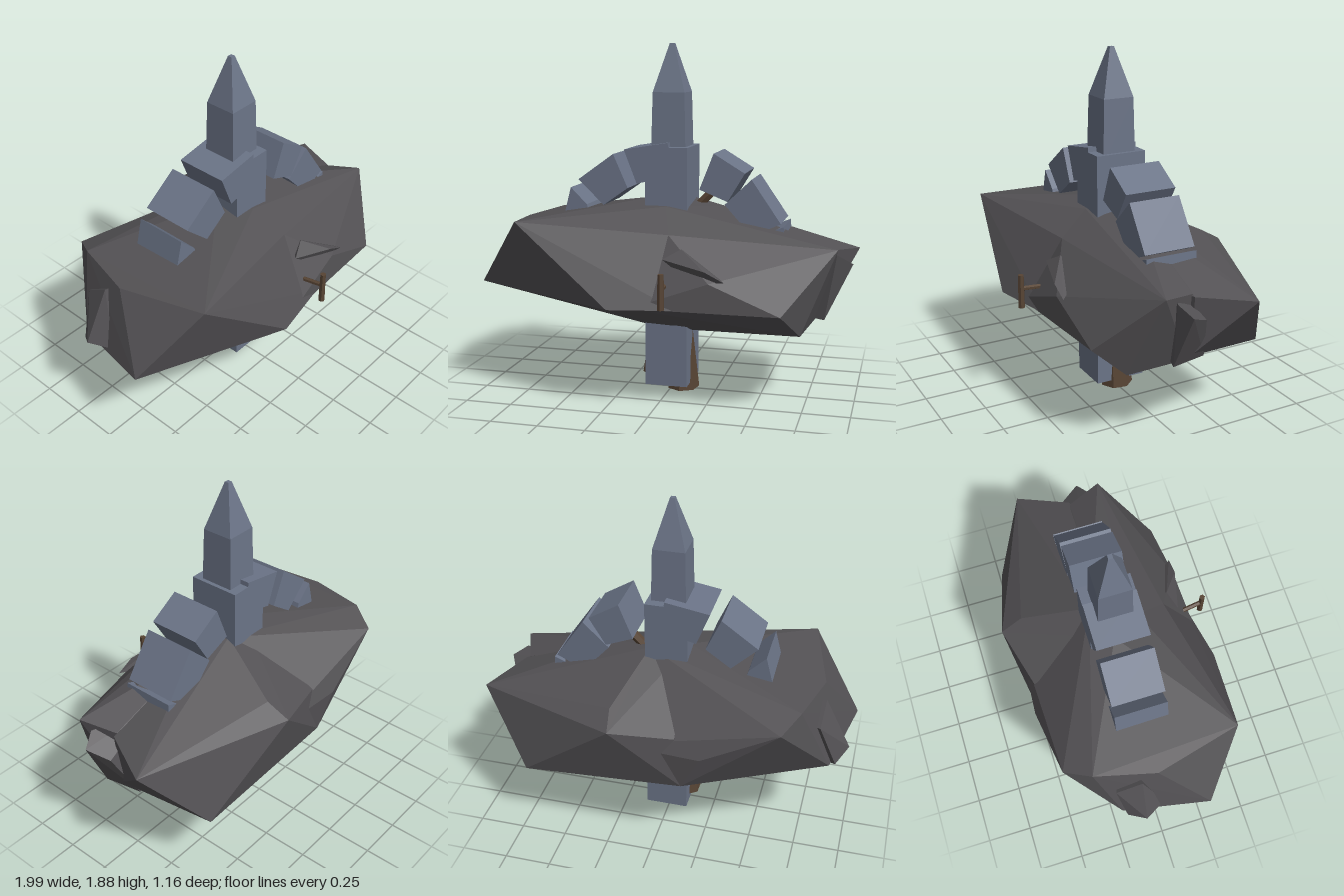
import * as THREE from 'three';
import { ConvexGeometry } from 'three/addons/geometries/ConvexGeometry.js';

export function createModel() {
  const model = new THREE.Group();
  const mat = (name, color) => {
    const m = new THREE.MeshStandardMaterial({ color });
    m.name = name;
    m.flatShading = true;
    return m;
  };
  const rock = mat('dark rock', 0x535154);
  const stone = mat('blue grey stone', 0x6b7487);
  const wood = mat('brown wood', 0x574434);

  const add = (name, geometry, material, x = 0, y = 0, z = 0) => {
    const mesh = new THREE.Mesh(geometry, material);
    mesh.name = name;
    mesh.position.set(x, y, z);
    model.add(mesh);
    return mesh;
  };
  const hull = (name, points) =>
    add(name, new ConvexGeometry(points.map((p) => new THREE.Vector3(...p))), rock);
  // faceted rod between two points
  const rod = (name, a, b, r0, r1, sides = 6) => {
    const from = new THREE.Vector3(...a), to = new THREE.Vector3(...b);
    const dir = to.clone().sub(from);
    const mesh = add(name, new THREE.CylinderGeometry(r1, r0, dir.length(), sides), wood);
    mesh.position.copy(from).add(to).multiplyScalar(0.5);
    mesh.quaternion.setFromUnitVectors(new THREE.Vector3(0, 1, 0), dir.normalize());
  };

  // floating boulder: three overlapping lobes around a shared core
  const core = [
    [-0.1, 1.07, -0.02], [0.1, 1.065, -0.1], [0.3, 1.03, -0.02], [0, 1.04, 0.14],
    [0.1, 0.34, 0], [-0.1, 0.36, 0.03], [0, 0.33, -0.06], [0.06, 0.92, 0.31],
  ];
  hull('boulderLeft', [
    ...core,
    [-0.72, 0.98, 0.46], [-0.83, 0.94, -0.01], [-0.75, 0.95, -0.34], [-0.2, 0.57, 0.55],
    [-0.67, 0.89, -0.48], [-1, 0.61, 0.25], [-0.9, 0.56, -0.22], [-0.17, 0.5, -0.51],
    [-0.27, 0.7, -0.53], [0.15, 0.57, 0.48], [0.2, 0.7, -0.5],
  ]);
  hull('boulderFrontRight', [
    ...core,
    [0.91, 0.86, 0.19], [0.66, 0.56, 0.45], [0.74, 0.43, 0.3], [0.84, 0.83, 0],
    [0.8, 0.47, 0], [-0.1, 0.57, 0.5], [0.3, 0.71, 0.46],
  ]);
  hull('boulderBackRight', [
    ...core,
    [0.99, 0.79, -0.28], [0.7, 0.43, -0.49], [0.2, 0.82, -0.58], [0.86, 0.82, 0],
    [0.83, 0.5, 0], [-0.13, 0.78, -0.49], [-0.17, 0.5, -0.51], [0.22, 0.89, -0.46],
  ]);
  // jagged slabs sticking out of the boulder
  hull('rightSlab', [
    [0.98, 0.77, 0.08], [0.9, 0.82, 0.12], [0.84, 0.47, 0.1], [0.92, 0.72, -0.03],
    [0.8, 0.47, -0.1], [0.6, 0.85, 0], [0.5, 0.5, 0],
  ]);
  hull('leftSlab', [
    [-0.99, 0.62, -0.11], [-0.93, 0.56, -0.2], [-0.85, 0.89, -0.1], [-0.92, 0.6, 0.01],
    [-0.84, 0.8, -0.24], [-0.5, 0.5, 0], [-0.5, 0.8, -0.1],
  ]);
  hull('frontShard', [
    [0.05, 0.81, 0.4], [0.14, 0.86, 0.36], [0.38, 0.72, 0.46], [0.28, 0.77, 0.46],
    [0.2, 0.7, 0.4], [0.2, 0.8, 0.25],
  ]);

  // stone column passing through the boulder
  add('column', new THREE.BoxGeometry(0.23, 1.295, 0.285), stone, 0, 0.7025, -0.0125);

  // broken arch: tapered blocks given by their corners in x and y
  const blocks = [
    [[-0.23, 1.335], [-0.16, 1.155], [0.02, 1.2], [0.01, 1.375]],
    [[-0.485, 1.17], [-0.345, 1.035], [-0.21, 1.13], [-0.29, 1.31]],
    [[-0.53, 1.125], [-0.575, 0.95], [-0.4, 0.9], [-0.44, 1.035]],
    [[0.255, 1.325], [0.18, 1.135], [0.33, 1.075], [0.42, 1.225]],
    [[0.455, 1.195], [0.315, 1.06], [0.46, 0.9], [0.61, 0.97]],
    [[0.625, 0.955], [0.54, 0.92], [0.5, 0.82], [0.63, 0.86]],
  ];
  for (const corners of blocks) {
    const shape = new THREE.Shape(corners.map(([x, y]) => new THREE.Vector2(x, y)));
    add('archBlock', new THREE.ExtrudeGeometry(shape, { depth: 0.285, bevelEnabled: false }),
      stone, 0, 0, -0.155);
  }

  // square spire with a pointed cap
  const square = (name, r0, r1, y0, y1) => {
    const g = new THREE.CylinderGeometry(r1 * Math.SQRT2, r0 * Math.SQRT2, y1 - y0, 4);
    g.rotateY(Math.PI / 4);
    add(name, g, stone, 0, (y0 + y1) / 2, -0.012);
  };
  square('spireShaft', 0.094, 0.086, 1.3, 1.635);
  square('spireCap', 0.086, 0.012, 1.635, 1.89);

  // wooden roots, broken beam and peg
  rod('rightRoot', [0.06, 0.014, -0.015], [0.062, 0.38, 0], 0.09, 0.05, 7);
  rod('leftRoot', [-0.09, 0.085, -0.015], [-0.06, 0.42, -0.01], 0.078, 0.055);
  rod('beam', [0.08, 0.97, -0.045], [0.24, 1.13, -0.045], 0.027, 0.025);
  rod('pegArm', [0.07, 0.68, 0.42], [0.085, 0.695, 0.56], 0.013, 0.013);
  rod('peg', [0.086, 0.59, 0.56], [0.086, 0.77, 0.56], 0.018, 0.016);
  return model;
}
